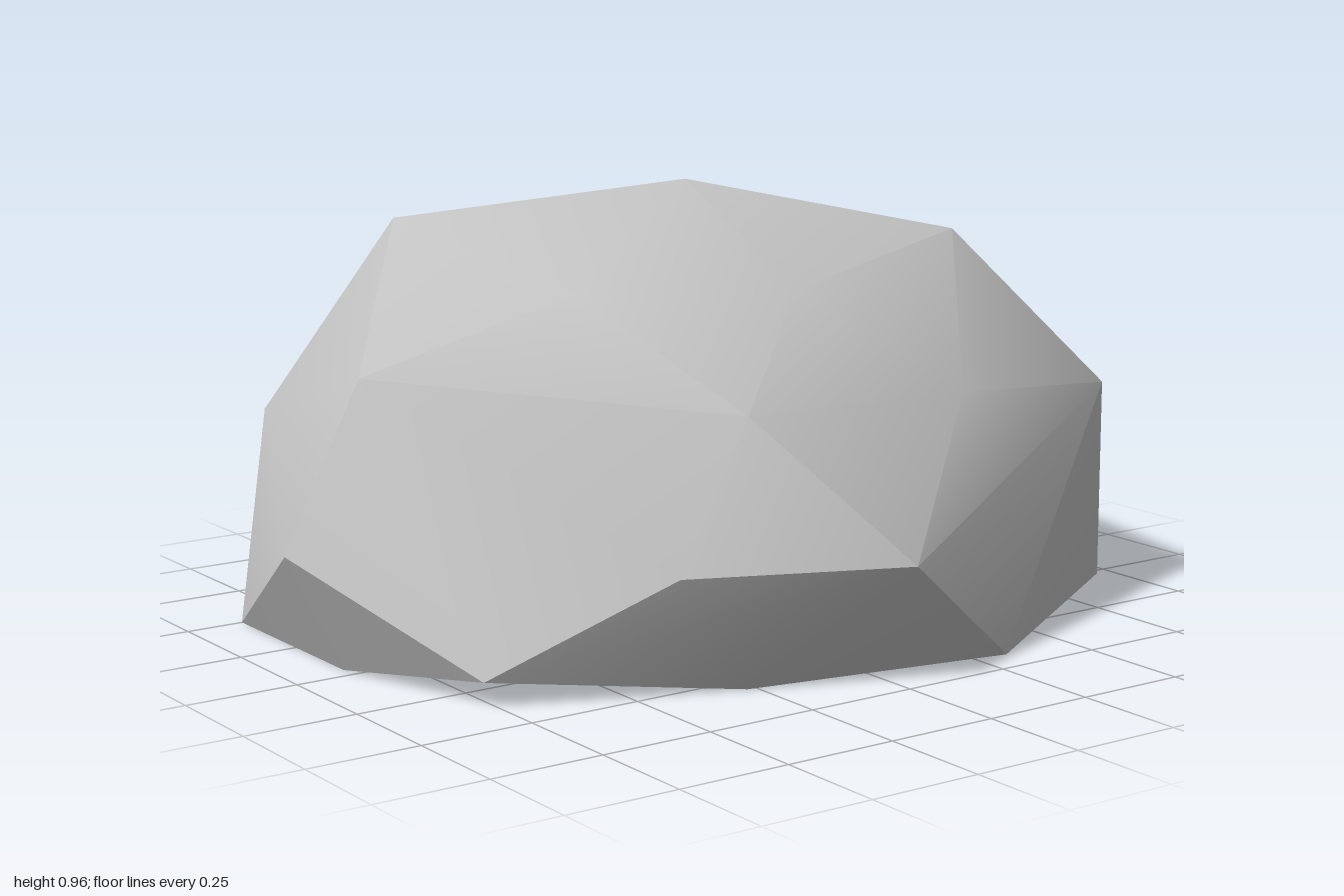
import * as THREE from 'three';
import { ConvexGeometry } from 'three/addons/geometries/ConvexGeometry.js';
import { toCreasedNormals } from 'three/addons/utils/BufferGeometryUtils.js';

// Corners of the boulder, in rings from the base up: [x, y, z]
const base = [
  [0.69, 0, -0.02], [0.33, 0, 0.67], [-0.27, 0, 0.56], [-0.87, 0, -0.04],
  [-0.87, 0, -0.5], [-0.3, 0, -0.68], [0.3, 0, -0.64],
];
const foot = [[0.84, 0.045, 0.4], [-0.78, 0.055, 0.37], [0.69, 0.08, -0.4]];
const waist = [
  [1, 0.26, -0.04], [0.48, 0.26, 0.56], [0, 0.26, 0.77], [-0.45, 0.26, 0.58],
  [-1, 0.26, -0.04], [-0.5, 0.26, -0.73], [0, 0.26, -0.77], [0.46, 0.26, -0.66],
];
const shoulder = [
  [0.84, 0.49, 0.4], [0.3, 0.55, 0.55], [-0.27, 0.565, 0.56], [-0.82, 0.61, -0.04],
  [-0.82, 0.48, -0.46], [-0.31, 0.61, -0.74], [0.3, 0.6, -0.7], [0.84, 0.615, -0.04],
];
const crown = [
  [0.53, 0.845, 0.235], [0, 0.77, 0.36], [-0.44, 0.78, 0.19],
  [-0.56, 0.89, -0.34], [0, 0.84, -0.49], [0.53, 0.845, -0.32], [0, 0.965, -0.04],
];

export function createModel() {
  const stone = new THREE.MeshStandardMaterial({ color: 0xc3c3c3 });
  stone.name = 'stone grey';

  // Faceted hull: gentle bends are shaded smooth, strong ones stay sharp
  const corners = [base, foot, waist, shoulder, crown].flat().map((p) => new THREE.Vector3(...p));
  const geometry = toCreasedNormals(new ConvexGeometry(corners), THREE.MathUtils.degToRad(30));

  const boulder = new THREE.Mesh(geometry, stone);
  boulder.name = 'boulder';

  const model = new THREE.Group();
  model.name = 'rock';
  model.add(boulder);
  return model;
}
